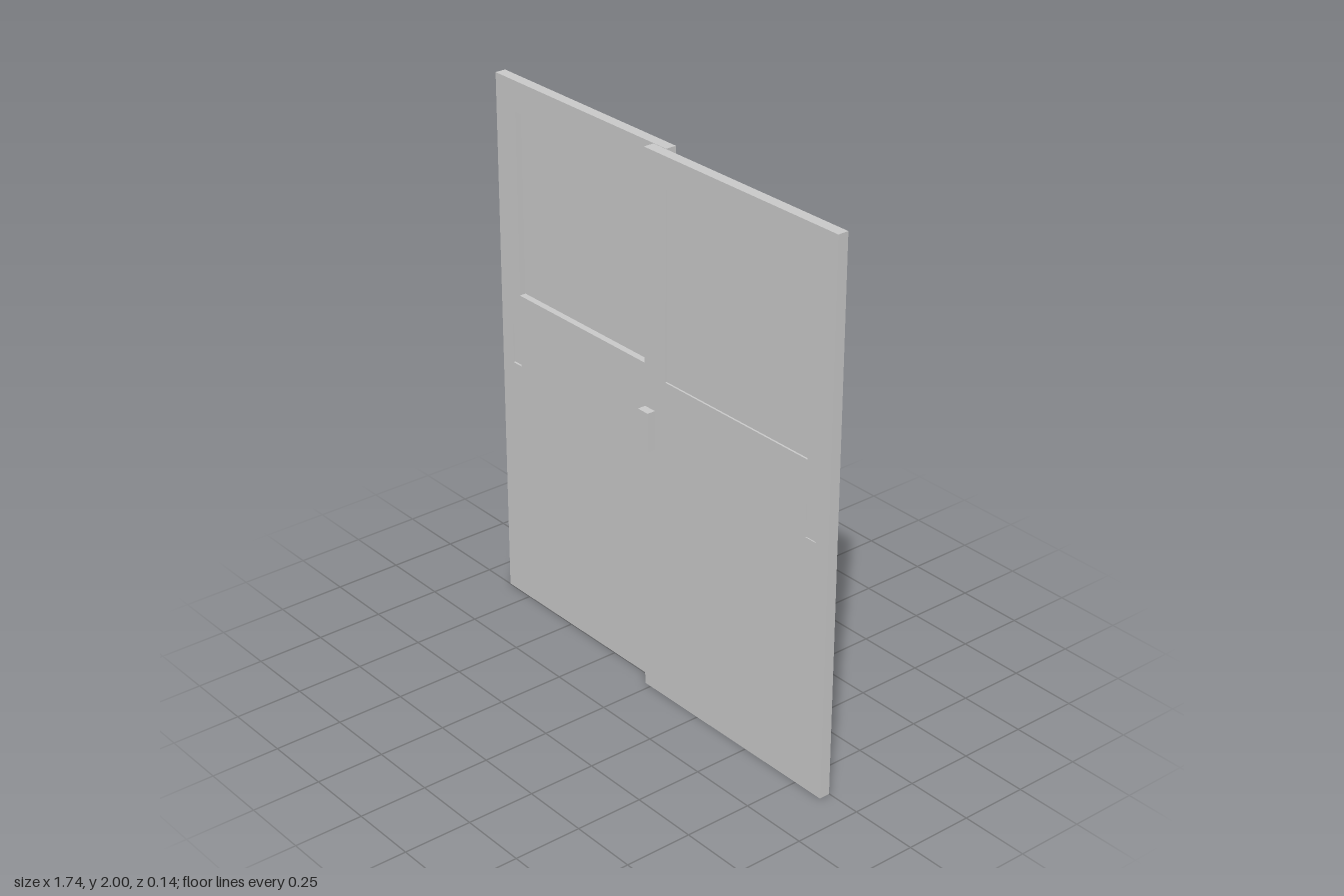
import * as THREE from 'three';

const W = 0.9, H = 2, T = 0.04;     // door leaf size
const GAP = 0.001;                  // half the gap between the leaves
const grey = () => new THREE.MeshStandardMaterial({ color: 0xcccccc });

// Openings in a leaf: x0, x1, y0, y1
const WINDOW = [0.077, 0.765, 1.21, 1.89];
const POCKET = [0.765, 0.812, 0.935, 1.085];

function rectHole([x0, x1, y0, y1]) {
  const path = new THREE.Path();
  path.moveTo(x0, y0);
  path.lineTo(x0, y1);
  path.lineTo(x1, y1);
  path.lineTo(x1, y0);
  path.closePath();
  return path;
}

// Box given by its limits
function block(name, [x0, x1, y0, y1], z0, z1) {
  const mesh = new THREE.Mesh(new THREE.BoxGeometry(x1 - x0, y1 - y0, z1 - z0), grey());
  mesh.position.set((x0 + x1) / 2, (y0 + y1) / 2, (z0 + z1) / 2);
  mesh.name = name;
  return mesh;
}

// One sliding leaf, its inner face near z = 0 and its outer face towards +z
function createLeaf(name) {
  const leaf = new THREE.Group();
  leaf.name = name;

  // Slab with a window opening and a finger pocket
  const x0 = -0.03, x1 = x0 + W;
  const outline = new THREE.Shape([
    new THREE.Vector2(x0, 0), new THREE.Vector2(x1, 0),
    new THREE.Vector2(x1, H), new THREE.Vector2(x0, H),
  ]);
  outline.holes.push(rectHole(WINDOW), rectHole(POCKET));
  const slab = new THREE.Mesh(
    new THREE.ExtrudeGeometry(outline, { depth: T, bevelEnabled: false }), grey());
  slab.position.z = GAP;
  slab.name = 'doorSlab';
  leaf.add(slab);

  // Pane set close to the outer face
  leaf.add(block('windowPane', WINDOW, GAP + 0.025, GAP + T - 0.007));
  // Shallow pocket floor, deeper on the inner side
  leaf.add(block('pocketFloor', POCKET, GAP + 0.008, GAP + T - 0.004));
  // Raised pull handle at the meeting edge
  leaf.add(block('handle', [-0.026, 0.024, 0.94, 1.085], GAP + T, 0.072));
  return leaf;
}

export function createModel() {
  const model = new THREE.Group();
  model.name = 'slidingDoors';
  const front = createLeaf('frontDoor');
  const back = createLeaf('backDoor');
  back.rotation.y = Math.PI;
  model.add(front, back);
  return model;
}
